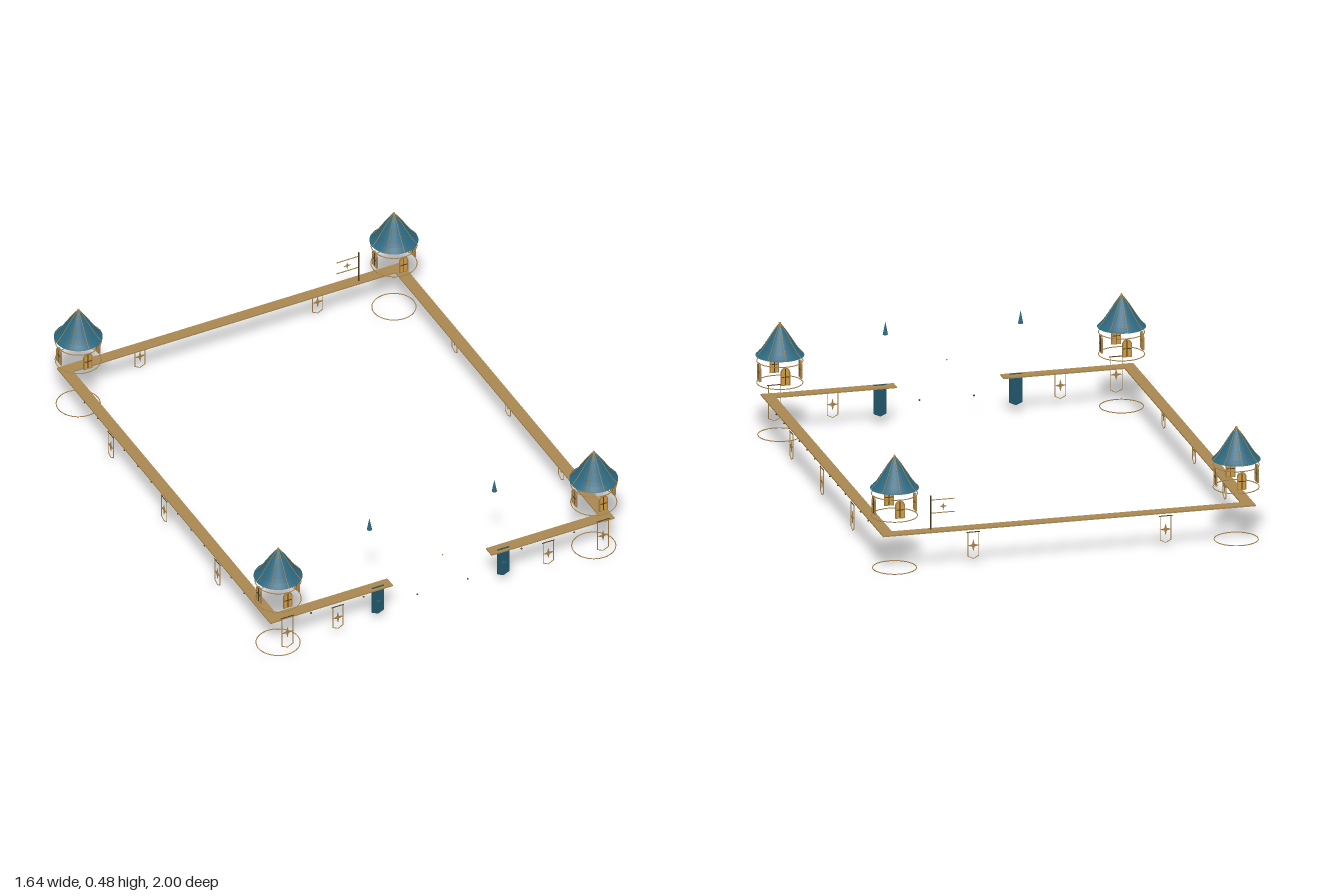
import * as THREE from 'three';

const mat = (color) => new THREE.MeshStandardMaterial({ color, side: THREE.DoubleSide });
const plank = mat(0xa88850), gold = mat(0xa5824a), glow = mat(0xd09a40), dark = mat(0x4a3822);
const teal = mat(0x2c6880), cloth = mat(0x205468);

function add(parent, name, geo, material, x = 0, y = 0, z = 0) {
  const m = new THREE.Mesh(geo, material);
  m.name = name;
  m.position.set(x, y, z);
  parent.add(m);
  return m;
}

function group(parent, name, x = 0, y = 0, z = 0, turn = 0) {
  const g = new THREE.Group();
  g.name = name;
  g.position.set(x, y, z);
  g.rotation.y = turn;
  parent.add(g);
  return g;
}

const box = (w, h, d) => new THREE.BoxGeometry(w, h, d);
const extrude = (shape, depth) =>
  new THREE.ExtrudeGeometry(shape, { depth, bevelEnabled: false, curveSegments: 8 }).translate(0, 0, -depth / 2);

// Four-pointed star emblem
function starGeometry(r) {
  const s = new THREE.Shape();
  for (let i = 0; i < 8; i++) {
    const a = i * Math.PI / 4, q = i % 2 ? r * 0.28 : r;
    i ? s.lineTo(q * Math.cos(a), q * Math.sin(a)) : s.moveTo(q, 0);
  }
  s.closePath();
  return extrude(s, 0.003);
}

// Outline of a hanging banner with a pointed foot, its top edge at y = 0
function bannerOutline(Kind, w, h) {
  const s = new Kind();
  s.moveTo(-w / 2, 0);
  s.lineTo(-w / 2, -h + 0.012);
  s.lineTo(0, -h);
  s.lineTo(w / 2, -h + 0.012);
  s.lineTo(w / 2, 0);
  s.closePath();
  return s;
}

// Banner trim: thin border, rod and star
function bannerTrim(parent, name, x, y, z, w, h, turn) {
  const g = group(parent, name, x, y, z, turn);
  const s = bannerOutline(THREE.Shape, w, h);
  const inner = bannerOutline(THREE.Path, w - 0.004, h - 0.004);
  s.holes.push(new THREE.Path(inner.getPoints().map((p) => p.setY(p.y - 0.002))));
  add(g, 'bannerBorder', extrude(s, 0.003), gold);
  add(g, 'bannerRod', new THREE.CylinderGeometry(0.002, 0.002, w + 0.008, 6).rotateZ(Math.PI / 2), dark);
  add(g, 'bannerStar', starGeometry(0.025), gold, 0, -h / 2, 0);
}

function archShape(Kind, w, h) {
  const s = new Kind();
  s.moveTo(-w / 2, 0);
  s.lineTo(w / 2, 0);
  s.lineTo(w / 2, h - w / 2);
  s.absarc(0, h - w / 2, w / 2, 0, Math.PI, false);
  s.closePath();
  return s;
}

// Arched window facing +z
function addWindow(parent, turn) {
  const g = group(parent, 'window', 0, 0.24, 0, turn);
  add(g, 'windowPane', extrude(archShape(THREE.Shape, 0.036, 0.072), 0.003), glow, 0, 0, 0.086);
  const frame = archShape(THREE.Shape, 0.04, 0.075);
  frame.holes.push(new THREE.Path(archShape(THREE.Path, 0.032, 0.068).getPoints(8).map((p) => p.setY(p.y + 0.003))));
  add(g, 'windowFrame', extrude(frame, 0.007), gold, 0, 0, 0.087);
  add(g, 'windowMullion', box(0.003, 0.07, 0.006), dark, 0, 0.036, 0.087);
  add(g, 'windowCrossbar', box(0.032, 0.003, 0.006), dark, 0, 0.036, 0.087);
}

// Flared roof profile, radius and height
const roofCurve = new THREE.SplineCurve(
  [[0.1, 0.344], [0.079, 0.366], [0.055, 0.402], [0.029, 0.443], [0.003, 0.478]].map((p) => new THREE.Vector2(...p)));

function roofGeometry() {
  const pts = [], rows = 9;
  for (let i = 0; i < rows; i++) {
    const a = roofCurve.getPoint(i / rows), b = roofCurve.getPoint((i + 1) / rows);
    pts.push(a, new THREE.Vector2(Math.max(b.x - 0.0015, 0.001), b.y));
  }
  return new THREE.LatheGeometry(pts, 32);
}

function addTower(parent, x, z) {
  const g = group(parent, 'tower', x, 0, z);
  add(g, 'roof', roofGeometry(), teal);
  add(g, 'finial', new THREE.SphereGeometry(0.005, 10, 8), gold, 0, 0.48, 0);
  // Gold ribs down the roof
  const path = new THREE.CatmullRomCurve3(roofCurve.getPoints(8).map((p) => new THREE.Vector3(p.x, p.y + 0.0005, 0)));
  for (let i = 0; i < 8; i++) {
    add(g, 'roofRib', new THREE.TubeGeometry(path, 10, 0.0015, 5), gold).rotation.y = i * Math.PI / 4;
  }
  // Thin moulding rings
  for (const [r, y] of [[0.09, 0.002], [0.094, 0.226], [0.094, 0.32]]) {
    add(g, 'mouldingRing', new THREE.TorusGeometry(r, 0.002, 6, 40).rotateX(Math.PI / 2), gold, 0, y, 0);
  }
  for (let i = 0; i < 4; i++) addWindow(g, i * Math.PI / 2);
  if (z > 0) bannerTrim(g, 'towerBanner', 0, 0.188, 0.084, 0.052, 0.155, 0);
}

export function createModel() {
  const model = new THREE.Group();
  model.name = 'castleTrim';
  const stud = new THREE.SphereGeometry(0.004, 8, 6);

  // Walkways along the wall tops
  add(model, 'backWalkway', box(1.57, 0.006, 0.05), plank, 0, 0.16, -0.94);

  for (const s of [-1, 1]) {
    const out = s * Math.PI / 2;
    add(model, 'sideWalkway', box(0.05, 0.006, 1.92), plank, s * 0.76, 0.16, 0);
    add(model, 'frontWalkway', box(0.56, 0.006, 0.05), plank, s * 0.505, 0.16, 0.932);
    for (const z of [-0.9, 0.9]) addTower(model, s * 0.72, z);

    // Banners and studs on the walls
    for (const z of [-0.48, 0, 0.48]) bannerTrim(model, 'sideBanner', s * 0.784, 0.148, z, 0.048, 0.115, out);
    bannerTrim(model, 'frontBanner', s * 0.48, 0.148, 0.965, 0.048, 0.115, 0);
    bannerTrim(model, 'backBanner', s * 0.405, 0.148, -0.965, 0.048, 0.115, Math.PI);
    for (let i = -6; i <= 6; i++) {
      if (i % 4) add(model, 'wallStud', stud, dark, s * 0.782, 0.151, i * 0.12);
    }
    for (const x of [0.36, 0.6]) add(model, 'wallStud', stud, dark, s * x, 0.151, 0.96);

    // Gate banners, spires and handles
    const gate = group(model, 'gateBanner', s * 0.286, 0.166, 0.942);
    add(gate, 'gateCloth', extrude(bannerOutline(THREE.Shape, 0.054, 0.136), 0.006), cloth);
    add(gate, 'gateStar', starGeometry(0.012), teal, 0, -0.07, 0.004);
    add(model, 'gateSpire', new THREE.ConeGeometry(0.011, 0.056, 8), teal, s * 0.285, 0.433, 0.864);
    add(model, 'gateHandle', stud, dark, s * 0.115, 0.08, 0.96);
  }
  add(model, 'gateKeystone', new THREE.SphereGeometry(0.003, 8, 6), gold, 0, 0.243, 0.96);

  // Flag with a thin border on the back wall
  const flag = group(model, 'flag', 0.575, 0, -0.932);
  add(flag, 'flagPole', new THREE.CylinderGeometry(0.003, 0.003, 0.145, 8), dark, 0, 0.235, 0);
  for (const y of [0.232, 0.288]) add(flag, 'flagBorder', box(0.1, 0.003, 0.003), gold, -0.05, y, 0);
  add(flag, 'flagStar', starGeometry(0.016), gold, -0.052, 0.258, 0);

  return model;
}
